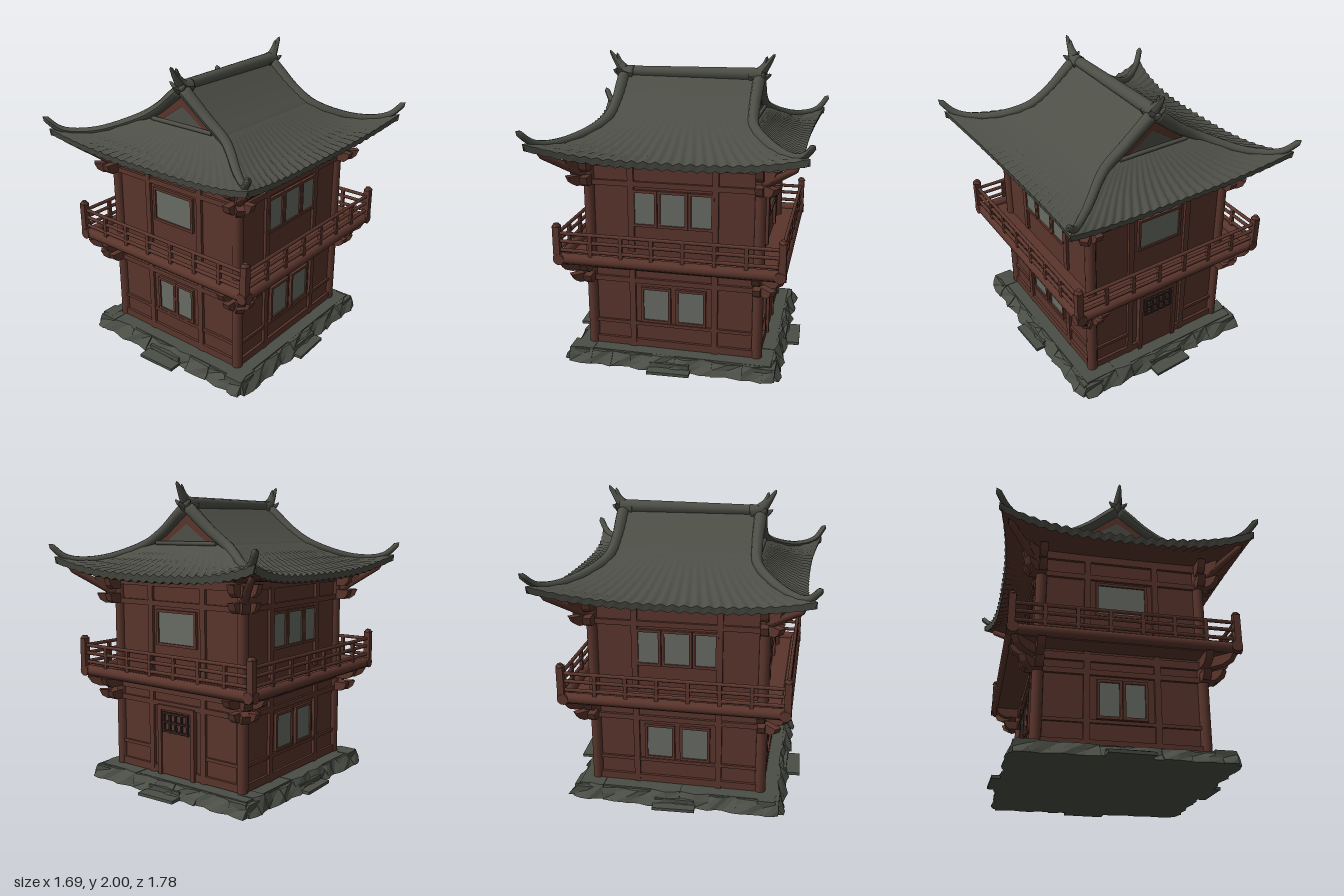
import * as THREE from 'three';

const mat = (name, color, side = THREE.FrontSide) => {
  const m = new THREE.MeshStandardMaterial({ color, side });
  m.name = name;
  return m;
};

export function createModel() {
  const root = new THREE.Group();
  root.name = 'twoStoreyPavilion';
  const roofGrey = mat('roofGrey', 0x4d4f47, THREE.DoubleSide);
  const stone = mat('stoneGrey', 0x4b4e46);
  const wood = mat('redWood', 0x5a352c, THREE.DoubleSide);
  const pane = mat('paleWindow', 0x686c64);
  const dark = mat('darkCarving', 0x2e211d);
  const lerp = THREE.MathUtils.lerp;
  let seed = 7;
  const rnd = () => (seed = (seed * 16807) % 2147483647) / 2147483647;

  const add = (parent, name, geo, material, x = 0, y = 0, z = 0) => {
    const m = new THREE.Mesh(geo, material);
    m.name = name;
    m.position.set(x, y, z);
    parent.add(m);
    return m;
  };
  const box = (parent, name, material, w, h, d, x, y, z) =>
    add(parent, name, new THREE.BoxGeometry(w, h, d), material, x, y, z);
  const bar = (parent, name, r, len, x, y, z) => {
    const m = add(parent, name, new THREE.CylinderGeometry(r, r, len, 10), wood, x, y, z);
    m.rotation.z = Math.PI / 2;
    return m;
  };
  // Surface given by fn(u in -1..1, v in 0..1, row)
  const sheet = (parent, name, material, nu, nv, fn) => {
    const g = new THREE.PlaneGeometry(2, 1, nu, nv), p = g.attributes.position;
    for (let i = 0; i < p.count; i++) {
      const row = Math.floor(i / (nu + 1));
      p.setXYZ(i, ...fn(p.getX(i), row / nv, row));
    }
    g.computeVertexNormals();
    return add(parent, name, g, material);
  };
  // Tube narrowing from r0 to r1, closed at both ends
  const horn = (parent, name, material, pts, r0, r1, n = 20, sides = 8) => {
    const path = new THREE.CatmullRomCurve3(pts.map(p => new THREE.Vector3(...p)));
    const g = new THREE.TubeGeometry(path, n, 1, sides), p = g.attributes.position;
    const v = new THREE.Vector3();
    for (let i = 0; i < p.count; i++) {
      const ring = Math.floor(i / (sides + 1)), c = path.getPointAt(ring / n);
      const r = ring === 0 || ring === n ? 0 : lerp(r0, r1, ring / n);
      v.fromBufferAttribute(p, i).sub(c).multiplyScalar(r).add(c);
      p.setXYZ(i, v.x, v.y, v.z);
    }
    g.computeVertexNormals();
    return add(parent, name, g, material);
  };

  // Four sides, each built in its own frame: x along the side, z outward
  const sides = ['front', 'right', 'back', 'left'].map((n, i) => {
    const g = new THREE.Group();
    g.name = n + 'Side';
    g.rotation.y = i * Math.PI / 2;
    root.add(g);
    const end = i % 2 === 0;
    return { g, i, end, half: end ? 0.53 : 0.57, out: end ? 0.57 : 0.53 };
  });

  // Stone base with an uneven rim
  box(root, 'baseSlab', stone, 1.24, 0.085, 1.32, 0, 0.0425, 0);
  for (const { g, end, half, out } of sides) {
    const limit = half + 0.12;
    for (let x = -limit; x < limit - 0.03;) {
      const w = Math.min(0.09 + rnd() * 0.12, limit - x), h = 0.07 + rnd() * 0.02;
      const geo = new THREE.BoxGeometry(w, h, 0.12, 2, 2, 2).toNonIndexed(), p = geo.attributes.position;
      for (let k = 0; k < p.count; k++) {
        const low = 0.5 - p.getY(k) / h;
        if (p.getZ(k) > 0.01) p.setZ(k, p.getZ(k) + low * 0.05 + 0.012 * Math.sin(31 * (x + p.getX(k)) + 3 * low));
      }
      geo.computeVertexNormals();
      add(g, 'rimStone', geo, stone, x + w / 2, h / 2, out + 0.035 + rnd() * 0.015);
      x += w;
    }
    const step = box(g, 'stepStone', stone, 0.28, 0.02, 0.2, 0, 0.01, end ? 0.7 : 0.635);
    step.rotation.y = 0.04;
    box(g, 'stepBlock', stone, 0.26, 0.05, 0.1, 0, 0.025, out + 0.09);
  }

  // Walls, timber frame, windows and door
  box(root, 'walls', wood, 1.04, 1.31, 1.12, 0, 0.745, 0);
  for (const x of [-0.515, 0.515]) for (const z of [-0.555, 0.555])
    add(root, 'cornerPost', new THREE.CylinderGeometry(0.036, 0.036, 1.3, 12), wood, x, 0.74, z);

  const windowPane = (s, x0, x1, y0, y1) => {
    const w = x1 - x0, h = y1 - y0, cx = (x0 + x1) / 2, cy = (y0 + y1) / 2, z = s.out;
    box(s.g, 'windowPane', pane, w, h, 0.008, cx, cy, z - 0.004);
    for (const k of [-1, 1]) {
      box(s.g, 'windowFrame', wood, 0.018, h + 0.036, 0.03, cx + k * (w / 2 + 0.009), cy, z - 0.005);
      box(s.g, 'windowFrame', wood, w, 0.018, 0.03, cx, cy + k * (h / 2 + 0.009), z - 0.005);
    }
  };
  for (const s of sides) {
    const { g, end, half, out, i } = s, px = end ? 0.22 : 0.275;
    for (const x of [-px, px]) {
      box(g, 'wallPost', wood, 0.04, 0.62, 0.03, x, 0.39, out - 0.006);
      box(g, 'wallPost', wood, 0.04, 0.6, 0.03, x, 1.07, out - 0.006);
    }
    for (const [y, h] of [[0.115, 0.05], [0.565, 0.035], [0.66, 0.05], [1.225, 0.035], [1.365, 0.06]])
      box(g, 'wallBeam', wood, half * 2 - 0.02, h, 0.028, 0, y, out - 0.006);
    for (const k of [-1, 1])
      box(g, 'panelRail', wood, half - px, 0.022, 0.022, k * (half + px) / 2, 0.255, out - 0.006);
    if (end) windowPane(s, -0.15, 0.15, 0.97, 1.17);
    else [[-0.25, -0.12], [-0.08, 0.08], [0.12, 0.25]].forEach(([a, b]) => windowPane(s, a, b, 0.96, 1.17));
    if (i === 2) {
      // Door with a carved lattice
      box(g, 'door', wood, 0.25, 0.44, 0.03, 0, 0.31, out - 0.004);
      for (const x of [-0.14, 0.14]) box(g, 'doorJamb', wood, 0.03, 0.47, 0.045, x, 0.32, out);
      box(g, 'doorLintel', wood, 0.31, 0.03, 0.045, 0, 0.545, out);
      for (const x of [-0.1, -0.05, 0, 0.05, 0.1]) box(g, 'doorLattice', dark, 0.014, 0.14, 0.02, x, 0.45, out + 0.016);
      for (const y of [0.39, 0.45, 0.51]) box(g, 'doorLattice', dark, 0.22, 0.014, 0.02, 0, y, out + 0.016);
    } else {
      const a = end ? 0.02 : 0.035, b = end ? 0.14 : 0.2;
      windowPane(s, -b, -a, 0.29, 0.505);
      windowPane(s, a, b, 0.29, 0.505);
      box(g, 'panelRail', wood, px * 2, 0.022, 0.022, 0, 0.255, out - 0.006);
    }
  }

  // Balcony floor, edge beams and railing
  box(root, 'balconyFloor', wood, 1.38, 0.04, 1.42, 0, 0.725, 0);
  for (const { g, end } of sides) {
    const half = end ? 0.70 : 0.72, out = end ? 0.72 : 0.70;
    bar(g, 'balconyBeam', 0.036, half * 2 + 0.05, 0, 0.745, out - 0.012);
    for (const y of [0.805, 0.865, 0.918]) bar(g, 'handRail', 0.012, half * 2, 0, y, out - 0.005);
    for (const x of [-0.5, -0.3, -0.1, 0.1, 0.3, 0.5])
      box(g, 'railPost', wood, 0.024, 0.15, 0.022, x, 0.845, out - 0.005);
    box(g, 'cornerRailPost', wood, 0.044, 0.22, 0.044, half, 0.86, out);
    add(g, 'postCap', new THREE.CylinderGeometry(0.016, 0.03, 0.02, 8), wood, half, 0.975, out);
  }

  // Stacked bracket arms at the corners, under the balcony and the eaves
  const arm = (parent, len, h, x, y, z, angle) => {
    const s = new THREE.Shape([[0, -h], [len * 0.65, -h], [len * 0.88, -h * 0.65], [len, 0], [0, 0]]
      .map(p => new THREE.Vector2(...p)));
    const geo = new THREE.ExtrudeGeometry(s, { depth: 0.05, bevelEnabled: false }).translate(0, 0, -0.025);
    add(parent, 'bracketArm', geo, wood, x, y, z).rotation.y = angle;
  };
  for (const sx of [-1, 1]) for (const sz of [-1, 1]) {
    const ax = sx > 0 ? 0 : Math.PI, az = -sz * Math.PI / 2, ad = Math.atan2(-sz, sx);
    for (const [y, len, h] of [[0.61, 0.12, 0.06], [0.705, 0.18, 0.065], [1.275, 0.12, 0.065], [1.385, 0.13, 0.08]])
      for (const [a, k] of [[ax, 1], [az, 1], [ad, 1.3]]) arm(root, len * k, h, sx * 0.515, y, sz * 0.555, a);
    horn(root, 'cornerStrut', wood, [[sx * 0.52, 1.26, sz * 0.56], [sx * 0.62, 1.34, sz * 0.66], [sx * 0.76, 1.45, sz * 0.8]], 0.03, 0.02, 10);
  }

  // Lower roof skirts: straight in the middle, swept out and up to the hips
  const hip = new THREE.CatmullRomCurve3([[0.33, 1.605, 0.47], [0.6, 1.5, 0.67], [0.82, 1.52, 0.86]]
    .map(p => new THREE.Vector3(...p)));
  for (const { g, end, half, out } of sides) {
    const skirt = (u, t) => {
      const h = hip.getPoint(t), e = Math.abs(u) ** 3;
      const mid = end ? lerp(0.47, 0.795, t) : lerp(0.33, 0.74, t);
      const wave = 0.009 * t * (1 - e) * Math.sin(u * 75);
      return [u * (end ? h.x : h.z), lerp(1.425 + 0.18 * (1 - t) ** 1.4, h.y, e) + wave,
        lerp(mid, end ? h.z : h.x, e) + wave * 0.5];
    };
    sheet(g, 'roofSkirt', roofGrey, 96, 10, (u, v, row) => {
      const p = skirt(u, v);
      p[1] += (row % 2) * 0.005;
      return p;
    });
    const edge = u => { const p = skirt(u, 1); p[1] -= 0.045; p[2] -= 0.012; return p; };
    sheet(g, 'eaveEdge', roofGrey, 96, 1, (u, v) => v === 0 ? skirt(u, 1) : edge(u));
    sheet(g, 'eaveUnderside', wood, 96, 2, (u, v) => {
      const p = edge(u);
      return [lerp(p[0], u * half, v), lerp(p[1], 1.385, v), lerp(p[2], out - 0.01, v)];
    });
    // Upper slopes up to the ridge, or gable walls at the ends
    if (!end) {
      sheet(g, 'upperRoofSlope', roofGrey, 24, 14, (u, v, row) => {
        const q = 1 - v;
        return [u * 0.475, 1.605 + 0.255 * (0.8 * q + 0.2 * q * q) + (row % 2) * 0.005 * (v < 1), 0.33 * v];
      });
    } else {
      const tri = (w, y0, y1) => new THREE.ShapeGeometry(new THREE.Shape(
        [[-w, y0], [w, y0], [0, y1]].map(p => new THREE.Vector2(...p))));
      add(g, 'gableWall', tri(0.31, 1.6, 1.84), wood, 0, 0, 0.46);
      add(g, 'gablePanel', tri(0.2, 1.6, 1.735), roofGrey, 0, 0, 0.466);
      bar(g, 'gableSill', 0.014, 0.5, 0, 1.612, 0.475).material = roofGrey;
    }
  }

  // Ridge, hip ridges and forked finials
  const ridge = add(root, 'mainRidge', new THREE.CylinderGeometry(0.036, 0.046, 0.96, 10), roofGrey, 0, 1.862, 0);
  ridge.rotation.x = Math.PI / 2;
  for (const sz of [-1, 1]) {
    horn(root, 'ridgeHorn', roofGrey, [[0, 1.85, sz * 0.38], [0, 1.87, sz * 0.46], [0, 1.92, sz * 0.505], [0, 2.0, sz * 0.56]], 0.052, 0.008, 16);
    horn(root, 'ridgeSpike', roofGrey, [[0, 1.87, sz * 0.45], [0, 1.92, sz * 0.49], [0, 1.985, sz * 0.51]], 0.035, 0.006, 10);
    horn(root, 'lowerSpike', roofGrey, [[0, 1.83, sz * 0.44], [0, 1.84, sz * 0.49], [0, 1.87, sz * 0.54]], 0.04, 0.006, 10);
    for (const sx of [-1, 1]) {
      horn(root, 'hipRidge', roofGrey, [[0, 1.85, 0.46], [0.08, 1.785, 0.46], [0.2, 1.688, 0.46], [0.36, 1.592, 0.485],
        [0.6, 1.502, 0.67], [0.76, 1.515, 0.81], [0.845, 1.605, 0.885]].map(([x, y, z]) => [x * sx, y, z * sz]), 0.042, 0.02, 40);
      horn(root, 'sideSpike', roofGrey, [[0, 1.85, sz * 0.47], [sx * 0.03, 1.86, sz * 0.49], [sx * 0.065, 1.89, sz * 0.5]], 0.03, 0.005, 8);
    }
  }
  return root;
}
